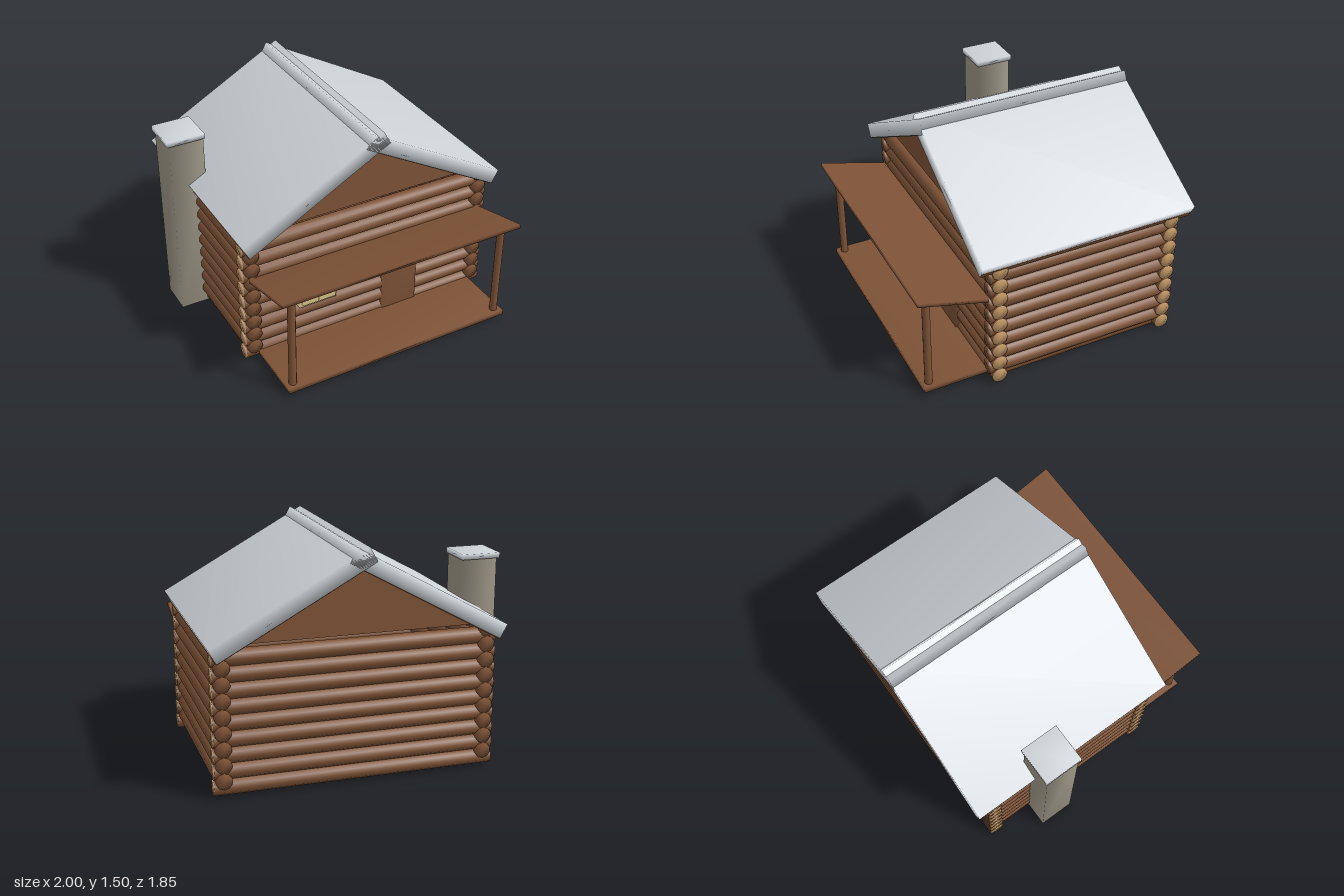
import * as THREE from 'three';
import { mergeVertices } from 'three/addons/utils/BufferGeometryUtils.js';

const mat = (name, color) => {
  const m = new THREE.MeshStandardMaterial({ color });
  m.name = name;
  return m;
};

// Weld shared corners so the normals run smoothly over the edges
function soften(geometry) {
  geometry.deleteAttribute('uv');
  geometry.deleteAttribute('normal');
  const welded = mergeVertices(geometry, 1e-4);
  welded.computeVertexNormals();
  return welded;
}

export function createModel() {
  const wood = mat('wood', 0x7d5236);
  const cutWood = mat('cutWood', 0xc09766);
  const roofGrey = mat('roofGrey', 0xced3d8);
  const stone = mat('stone', 0x9a9484);
  const glow = mat('windowGold', 0xe0c88c);

  const model = new THREE.Group();
  model.name = 'logCabin';
  const MID = 0.0625; // cabin centre line in x

  function add(name, geometry, material, parent = model) {
    const mesh = new THREE.Mesh(geometry, material);
    mesh.name = name;
    parent.add(mesh);
    return mesh;
  }
  // Soft-shaded box given by its limits on each axis
  function box(name, [x0, x1], [y0, y1], [z0, z1], material) {
    const mesh = add(name, soften(new THREE.BoxGeometry(x1 - x0, y1 - y0, z1 - z0)), material);
    mesh.position.set((x0 + x1) / 2, (y0 + y1) / 2, (z0 + z1) / 2);
    return mesh;
  }

  // Log walls: front/back logs alternate in height with the side logs
  const walls = new THREE.Group();
  walls.name = 'logWalls';
  model.add(walls);
  const longLog = soften(new THREE.CylinderGeometry(0.052, 0.052, 1.8, 10).rotateZ(Math.PI / 2));
  const sideLog = soften(new THREE.CylinderGeometry(0.052, 0.052, 1.31, 10).rotateX(Math.PI / 2));
  for (let i = 0; i < 9; i++) {
    const y = 0.063 + i * 0.101;
    for (const z of [0.413, -0.787]) {
      add('crossLog', longLog, [wood, cutWood, cutWood], walls).position.set(MID, y, z);
    }
    for (const s of [-1, 1]) {
      add('sideLog', sideLog, wood, walls).position.set(MID + s * 0.84, y + 0.0505, -0.186);
    }
  }
  box('cabinFloor', [-0.8, 0.92], [0.03, 0.06], [-0.8, 0.42], wood);

  // Gable filling under the roof
  const gable = new THREE.Shape([
    new THREE.Vector2(-0.72, 0.945),
    new THREE.Vector2(0.845, 0.945),
    new THREE.Vector2(MID, 1.375),
  ]);
  add('gable', new THREE.ExtrudeGeometry(gable, { depth: 1.22, bevelEnabled: false }), wood)
    .position.z = -0.8;

  // Two roof slabs crossing at the ridge, each with a wooden underside
  const slab = soften(new THREE.BoxGeometry(1.11, 0.1, 1.47));
  const board = new THREE.BoxGeometry(1.05, 0.04, 1.455);
  for (const s of [-1, 1]) {
    const side = new THREE.Group();
    side.name = s < 0 ? 'rightRoof' : 'leftRoof';
    side.position.set(MID + s * 0.4245, 1.188, -0.19);
    side.rotation.z = -s * 0.505;
    model.add(side);
    add('roofSlab', slab, roofGrey, side);
    add('roofBoard', board, wood, side).position.set(s * 0.034, -0.035, 0);
  }

  // Chimney
  box('chimney', [-0.985, -0.75], [0, 1.29], [-0.5, -0.265], stone);
  box('chimneyCap', [-1, -0.742], [1.285, 1.32], [-0.515, -0.255], roofGrey);

  // Porch floor, posts and a canopy rising outward
  box('porchFloor', [-0.75, 0.875], [0.035, 0.07], [0.42, 0.89], wood);
  const post = soften(new THREE.CylinderGeometry(0.026, 0.026, 0.665, 10));
  for (const x of [-0.703, 0.826]) {
    add('porchPost', post, wood).position.set(x, 0.3625, 0.842);
  }
  const canopy = add('porchRoof', soften(new THREE.BoxGeometry(1.715, 0.025, 0.53)), wood);
  canopy.position.set(0.058, 0.702, 0.669);
  canopy.rotation.x = -0.26;

  // Door and window on the front wall
  box('door', [0.17, 0.427], [0.02, 0.515], [0.41, 0.474], wood);
  box('windowFrame', [-0.458, -0.188], [0.31, 0.56], [0.41, 0.474], glow);
  for (const x of [-0.44, -0.319]) {
    box('windowPane', [x, x + 0.115], [0.33, 0.54], [0.46, 0.49], glow);
  }
  box('windowBar', [-0.326, -0.318], [0.325, 0.545], [0.472, 0.48], wood);

  return model;
}
